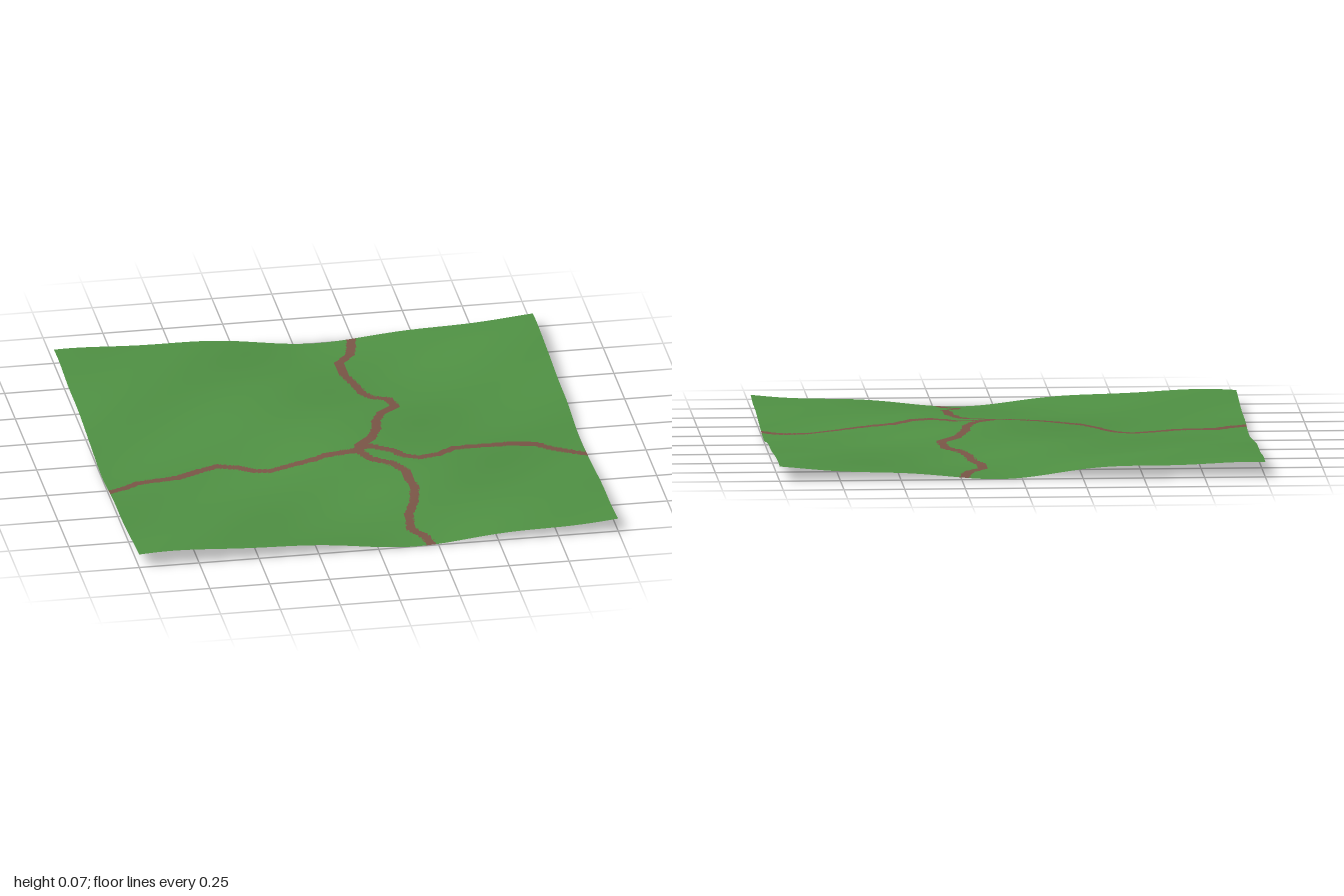
import * as THREE from 'three';

const CELLS = 200; // grid cells per side
const HALF_WIDTH = 0.019; // half the path width

// Path centre lines as [x, z] points, all meeting at one crossing
const crossing = [0.06, 0.19];
const trails = [
  // back
  [[0.24, -1], [0.23, -0.93], [0.21, -0.85], [0.15, -0.77], [0.15, -0.66], [0.18, -0.55], [0.19, -0.46], [0.22, -0.39],
    [0.28, -0.35], [0.29, -0.25], [0.22, -0.18], [0.18, -0.08], [0.17, 0], [0.13, 0.09], [0.07, 0.15], crossing],
  // front
  [crossing, [0.1, 0.26], [0.18, 0.31], [0.22, 0.4], [0.22, 0.47], [0.23, 0.55], [0.21, 0.65], [0.17, 0.75],
    [0.16, 0.86], [0.21, 0.93], [0.22, 1]],
  // right
  [[-1, 0.3], [-0.93, 0.27], [-0.87, 0.23], [-0.7, 0.21], [-0.6, 0.16], [-0.52, 0.13], [-0.44, 0.16], [-0.38, 0.22],
    [-0.32, 0.25], [-0.2, 0.23], [-0.13, 0.22], [-0.08, 0.2], crossing],
  // left
  [crossing, [0.08, 0.16], [0.12, 0.16], [0.2, 0.2], [0.24, 0.25], [0.3, 0.28], [0.38, 0.26], [0.46, 0.2], [0.6, 0.18],
    [0.7, 0.16], [0.81, 0.16], [0.87, 0.2], [0.92, 0.22], [1, 0.27]],
];

// Broad swells with small diagonal ripples
function height(x, z) {
  const swell = Math.cos((x - 0.17) * 3.22) * Math.cos((z - 0.15) * 3.22);
  return 0.03 * swell
    + 0.006 * Math.sin((x + z) * 9 + 0.6)
    + 0.003 * Math.sin(x * 7 - z * 3 + 1)
    + 0.002 * Math.sin(z * 15 + x * 4);
}

function distanceToSegment(x, z, [ax, az], [bx, bz]) {
  const dx = bx - ax, dz = bz - az;
  const t = THREE.MathUtils.clamp(((x - ax) * dx + (z - az) * dz) / (dx * dx + dz * dz), 0, 1);
  return Math.hypot(x - ax - t * dx, z - az - t * dz);
}

function onPath(x, z) {
  return trails.some((trail) => trail.some((p, k) =>
    k > 0 && distanceToSegment(x, z, trail[k - 1], p) < HALF_WIDTH));
}

export function createModel() {
  const grassGreen = new THREE.MeshStandardMaterial({ color: 0x4f9043, side: THREE.DoubleSide });
  grassGreen.name = 'grass green';
  const earthBrown = new THREE.MeshStandardMaterial({ color: 0x795546, side: THREE.DoubleSide });
  earthBrown.name = 'earth brown';

  // Undulating sheet of vertices, resting on y = 0
  const positions = [];
  for (let j = 0; j <= CELLS; j++) {
    for (let i = 0; i <= CELLS; i++) {
      const x = (2 * i) / CELLS - 1, z = (2 * j) / CELLS - 1;
      positions.push(x, height(x, z), z);
    }
  }

  // Sort the triangles into grass and path
  const grass = [], path = [];
  const addTriangle = (...corners) => {
    const x = corners.reduce((s, c) => s + positions[c * 3], 0) / 3;
    const z = corners.reduce((s, c) => s + positions[c * 3 + 2], 0) / 3;
    (onPath(x, z) ? path : grass).push(...corners);
  };
  for (let j = 0; j < CELLS; j++) {
    for (let i = 0; i < CELLS; i++) {
      const a = j * (CELLS + 1) + i, b = a + 1, c = a + CELLS + 1, d = c + 1;
      addTriangle(a, c, b);
      addTriangle(b, c, d);
    }
  }

  // One smooth sheet with a material group for each surface
  const geometry = new THREE.BufferGeometry();
  geometry.setAttribute('position', new THREE.Float32BufferAttribute(positions, 3));
  geometry.setIndex([...grass, ...path]);
  geometry.addGroup(0, grass.length, 0);
  geometry.addGroup(grass.length, path.length, 1);
  geometry.computeBoundingBox();
  geometry.translate(0, -geometry.boundingBox.min.y, 0);
  geometry.computeVertexNormals();

  const ground = new THREE.Mesh(geometry, [grassGreen, earthBrown]);
  ground.name = 'grassWithPaths';
  const model = new THREE.Group();
  model.name = 'terrain';
  model.add(ground);
  return model;
}
